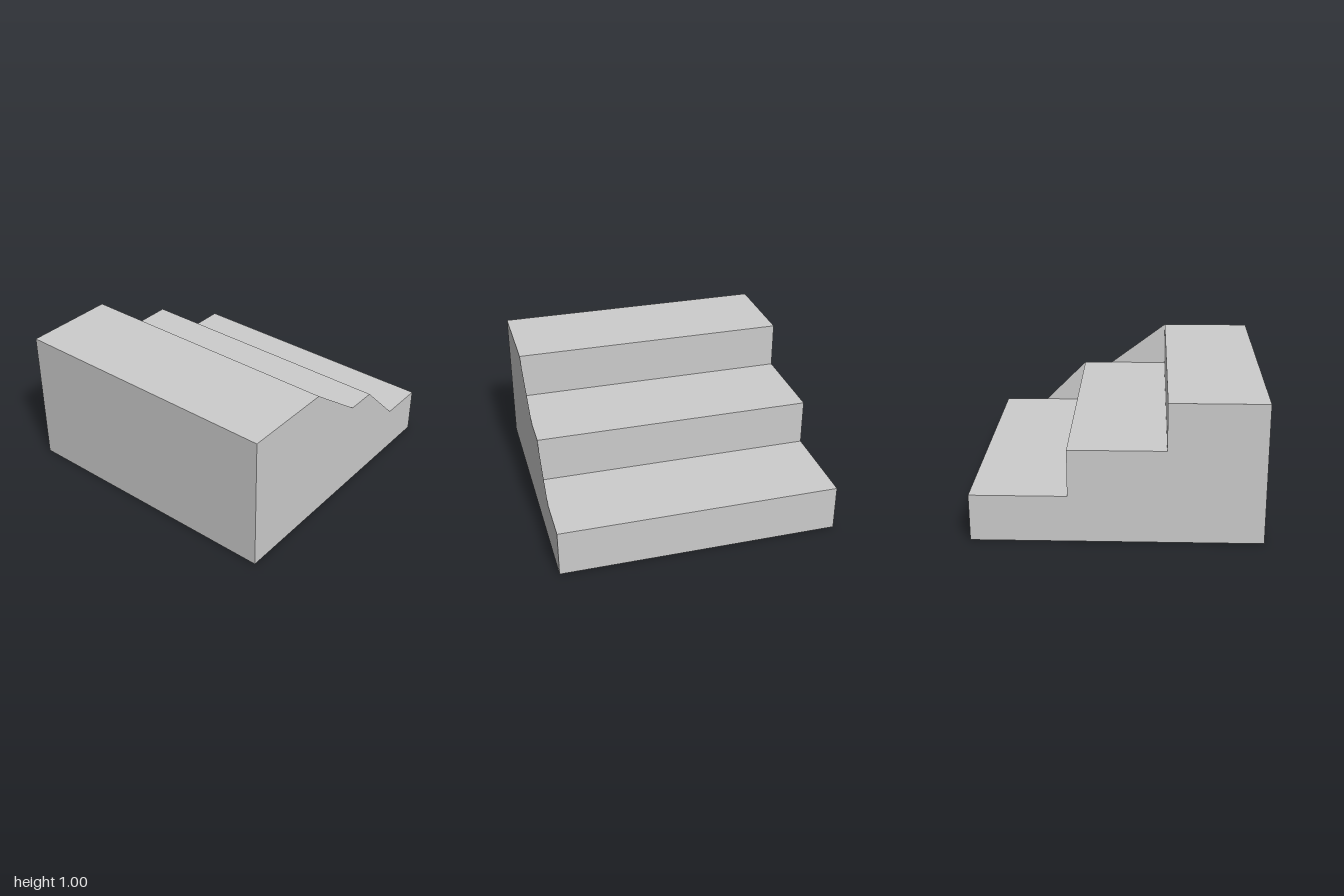
import * as THREE from 'three';

const WIDTH = 2;
const T = 2 / 3; // tread depth
const R = 1 / 3; // riser height

// Profiles are drawn as [-z, y]; this turn lays them in the side plane.
function sideShape(points) {
  return new THREE.Shape(points.map(([z, y]) => new THREE.Vector2(-z, y)));
}

export function createModel() {
  const group = new THREE.Group();
  group.name = 'stairs';

  const stone = new THREE.MeshStandardMaterial({ color: 0xcccccc });
  stone.name = 'light grey';
  const thinStone = new THREE.MeshStandardMaterial({ color: 0xcccccc, side: THREE.DoubleSide });
  thinStone.name = 'light grey sheet';

  // Solid flight of three steps, rising towards the front
  const profile = [[1, 0], [-1, 0]];
  for (let i = 0; i < 3; i++) {
    profile.push([-1 + i * T, (i + 1) * R], [-1 + (i + 1) * T, (i + 1) * R]);
  }
  const flight = new THREE.ExtrudeGeometry(sideShape(profile), { depth: WIDTH, bevelEnabled: false });
  flight.translate(0, 0, -WIDTH / 2).rotateY(Math.PI / 2);
  const steps = new THREE.Mesh(flight, stone);
  steps.name = 'steps';
  group.add(steps);

  // Thin triangular webs along the +x edge, one above each lower tread
  const webs = [
    { name: 'lowerWeb', z: -R, y: R, run: 1 / 3 },
    { name: 'upperWeb', z: R, y: 2 * R, run: 4 / 9 },
  ];
  for (const { name, z, y, run } of webs) {
    const geometry = new THREE.ShapeGeometry(sideShape([[z, y], [z - run, y], [z, y + R]]));
    geometry.translate(0, 0, WIDTH / 2).rotateY(Math.PI / 2);
    const web = new THREE.Mesh(geometry, thinStone);
    web.name = name;
    group.add(web);
  }

  return group;
}
